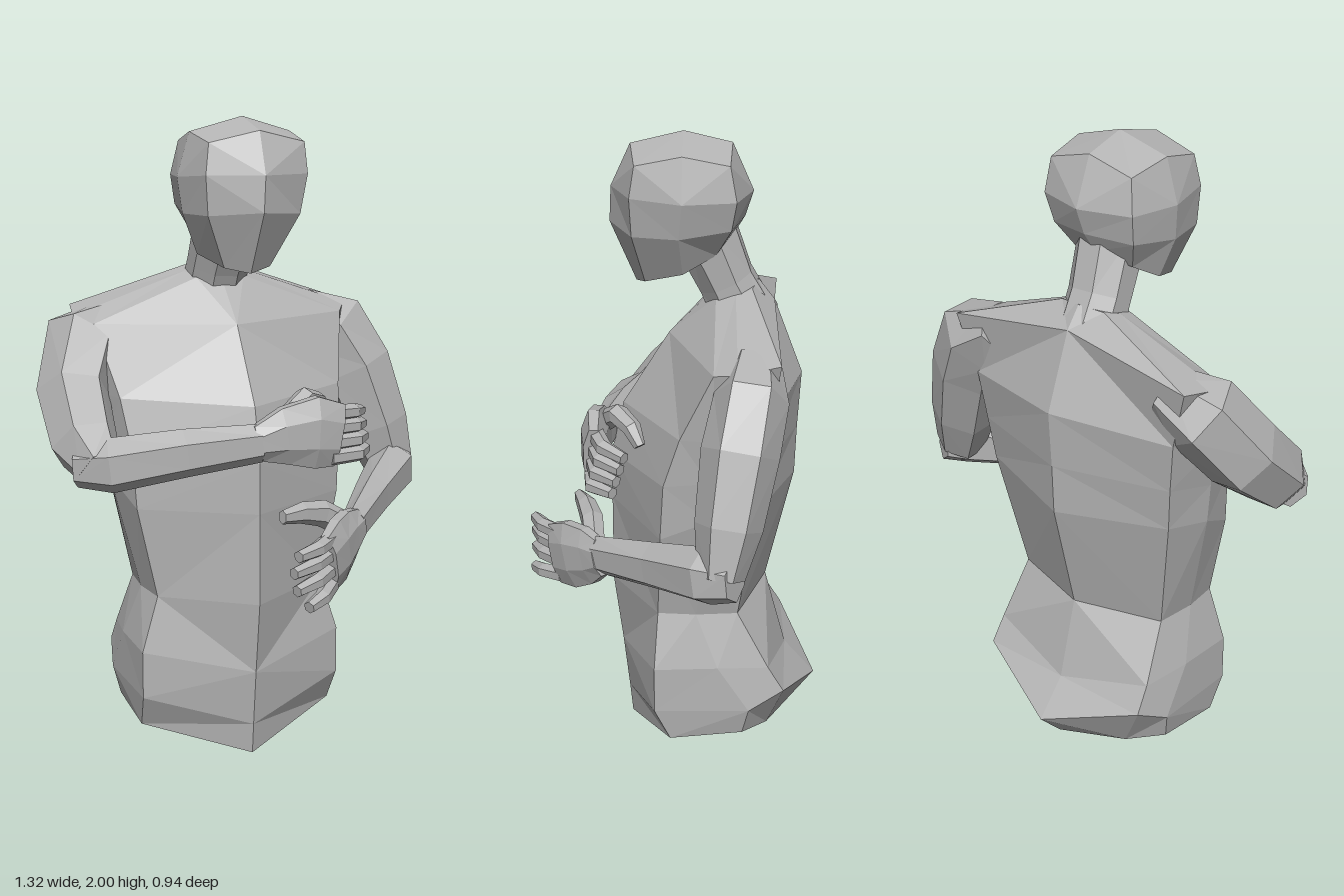
import * as THREE from 'three';

const grey = new THREE.MeshStandardMaterial({ color: 0xb4b4b4, flatShading: true });
grey.name = 'plain grey';

const V = ([x, y, z]) => new THREE.Vector3(x, y, z);
const centre = (r) => r.reduce((s, p) => s.add(p), new THREE.Vector3()).divideScalar(r.length);

// Closed skin over rings of points; rings run counter-clockwise about the direction of travel
function loft(name, rings, start = centre(rings[0]), end = centre(rings[rings.length - 1])) {
  const pos = [];
  const tri = (...pts) => pts.forEach((p) => pos.push(p.x, p.y, p.z));
  const n = rings[0].length;
  const first = rings[0], last = rings[rings.length - 1];
  for (let j = 0; j < n; j++) {
    const k = (j + 1) % n;
    for (let i = 0; i + 1 < rings.length; i++) {
      const a = rings[i], b = rings[i + 1];
      // Split each quad along its shorter diagonal
      if (a[j].distanceTo(b[k]) < a[k].distanceTo(b[j])) {
        tri(a[j], a[k], b[k]);
        tri(a[j], b[k], b[j]);
      } else {
        tri(a[j], a[k], b[j]);
        tri(a[k], b[k], b[j]);
      }
    }
    tri(start, first[k], first[j]);
    tri(end, last[j], last[k]);
  }
  const g = new THREE.BufferGeometry();
  g.setAttribute('position', new THREE.Float32BufferAttribute(pos, 3));
  g.computeVertexNormals();
  const m = new THREE.Mesh(g, grey);
  m.name = name;
  return m;
}

// Half cross-section (front centre to back centre) mirrored about x = cx
function mirrored(half, cx) {
  const left = half.map(([x, y, z]) => V([cx + x, y, z]));
  const right = half.slice(1, -1).reverse().map(([x, y, z]) => V([cx - x, y, z]));
  return [...left, ...right];
}

// Tapered limb: stations of [x, y, z, half thickness, half height]
function limb(name, stations, up = [0, 1, 0], sides = 6) {
  const pts = stations.map(V);
  const rings = stations.map((s, i) => {
    const t = pts[Math.min(i + 1, pts.length - 1)].clone().sub(pts[Math.max(i - 1, 0)]).normalize();
    const side = V(up).cross(t).normalize();
    const u = t.clone().cross(side);
    return Array.from({ length: sides }, (_, j) => {
      const a = ((j + 0.5) / sides) * Math.PI * 2;
      return pts[i].clone().addScaledVector(side, Math.cos(a) * s[3]).addScaledVector(u, Math.sin(a) * s[4]);
    });
  });
  return loft(name, rings);
}

// Four fingers, each from knuckle through a middle joint to the tip
function fingers(list) {
  const g = new THREE.Group();
  g.name = 'fingers';
  list.forEach(([a, b, c], i) =>
    g.add(limb('finger' + (i + 1), [[...a, 0.027, 0.027], [...b, 0.026, 0.025], [...c, 0.019, 0.019]])));
  return g;
}

export function createModel() {
  const model = new THREE.Group();
  model.name = 'figureBust';

  // Torso, from pelvis to base of the neck
  const torso = [
    [[0, 0, 0.14], [0.325, 0.095, 0], [0.32, 0.12, -0.23], [0.22, 0.1, -0.31], [0, 0.07, -0.38]],
    [[0, 0.1, 0.15], [0.335, 0.2, 0.05], [0.34, 0.21, -0.25], [0.31, 0.27, -0.36], [0, 0.165, -0.47]],
    [[0, 0.28, 0.17], [0.335, 0.35, 0.05], [0.335, 0.36, -0.15], [0.305, 0.35, -0.31], [0, 0.28, -0.37]],
    [[0, 0.51, 0.2], [0.28, 0.525, 0.04], [0.295, 0.53, -0.08], [0.28, 0.53, -0.21], [0, 0.535, -0.3]],
    [[0, 0.8, 0.2], [0.34, 0.81, 0.03], [0.38, 0.89, -0.12], [0.35, 0.92, -0.27], [0, 0.9, -0.385]],
    [[0, 0.96, 0.2], [0.35, 0.99, 0.02], [0.39, 1.02, -0.12], [0.365, 1.06, -0.285], [0, 1.06, -0.39]],
    [[0, 1.13, 0.16], [0.37, 1.15, -0.03], [0.41, 1.16, -0.14], [0.385, 1.22, -0.3], [0, 1.24, -0.4]],
    [[0, 1.365, 0.015], [0.42, 1.37, -0.13], [0.465, 1.39, -0.2], [0.44, 1.41, -0.325], [0, 1.475, -0.31]],
    [[0, 1.48, -0.1], [0.08, 1.5, -0.13], [0.1, 1.515, -0.19], [0.08, 1.53, -0.24], [0, 1.54, -0.26]],
  ];
  model.add(loft('torso', torso.map((h) => mirrored(h, -0.045)), V([-0.045, 0.025, -0.14])));

  // Neck leaning forward
  model.add(limb('neck', [
    [-0.045, 1.42, -0.22, 0.1, 0.1], [-0.04, 1.54, -0.16, 0.1, 0.09], [-0.03, 1.7, -0.09, 0.105, 0.105],
  ], [0, 0, 1], 8));

  // Faceted head, tilted slightly sideways
  const head = [
    [[0, 1.533, 0.115], [0.075, 1.55, 0.085], [0.12, 1.585, -0.03], [0.1, 1.64, -0.13], [0, 1.68, -0.18]],
    [[0, 1.72, 0.195], [0.15, 1.71, 0.12], [0.18, 1.71, -0.02], [0.15, 1.73, -0.175], [0, 1.74, -0.215]],
    [[0, 1.83, 0.19], [0.165, 1.83, 0.125], [0.2, 1.82, -0.03], [0.165, 1.82, -0.19], [0, 1.82, -0.24]],
    [[0, 1.96, 0.13], [0.155, 1.925, 0.11], [0.165, 1.955, -0.03], [0.15, 1.925, -0.17], [0, 1.965, -0.175]],
  ];
  const tilt = [-0.04, -0.03, -0.023, -0.018];
  model.add(loft('head', head.map((h, i) => mirrored(h, tilt[i])), undefined, V([-0.01, 2, -0.03])));

  // Right arm folded across the chest
  const right = new THREE.Group();
  right.name = 'rightArm';
  right.add(
    limb('upperArm', [
      [-0.36, 1.36, -0.25, 0.08, 0.08], [-0.47, 1.31, -0.22, 0.125, 0.125], [-0.54, 1.16, -0.11, 0.125, 0.115],
      [-0.55, 1.03, 0.04, 0.11, 0.105], [-0.53, 0.97, 0.13, 0.075, 0.07],
    ], [1, 0, 0]),
    limb('forearm', [
      [-0.59, 0.975, 0.08, 0.06, 0.065], [-0.5, 0.98, 0.13, 0.09, 0.085],
      [-0.28, 1.01, 0.18, 0.07, 0.075], [-0.05, 1.03, 0.22, 0.045, 0.06],
    ]),
    limb('palm', [
      [-0.06, 1.03, 0.22, 0.04, 0.06], [0.02, 1.05, 0.235, 0.045, 0.095],
      [0.12, 1.055, 0.24, 0.045, 0.12], [0.2, 1.04, 0.235, 0.035, 0.105],
    ], [0, 1, 0], 8),
    limb('thumb', [
      [0.04, 1.1, 0.21, 0.035, 0.035], [0.12, 1.15, 0.165, 0.035, 0.033],
      [0.18, 1.13, 0.12, 0.03, 0.028], [0.205, 1.08, 0.095, 0.018, 0.02],
    ]),
    fingers([0, 1, 2, 3].map((i) => [
      [0.17, 0.972 + i * 0.045, 0.245 - i * 0.004],
      [0.27, 0.975 + i * 0.042, 0.235 - i * 0.012],
      [0.325, 0.975 + i * 0.038, 0.17 - i * 0.012],
    ])),
  );
  model.add(right);

  // Left arm hanging, forearm brought forward
  const left = new THREE.Group();
  left.name = 'leftArm';
  left.add(
    limb('upperArm', [
      [0.28, 1.37, -0.25, 0.08, 0.08], [0.39, 1.31, -0.24, 0.13, 0.11], [0.465, 1.17, -0.21, 0.13, 0.115],
      [0.535, 0.97, -0.18, 0.115, 0.1], [0.58, 0.83, -0.16, 0.085, 0.07],
    ], [0, 0, 1]),
    limb('forearm', [
      [0.615, 0.84, -0.2, 0.06, 0.07], [0.57, 0.83, -0.12, 0.08, 0.09],
      [0.42, 0.785, 0.04, 0.06, 0.075], [0.265, 0.74, 0.22, 0.04, 0.062],
    ]),
    limb('palm', [
      [0.28, 0.74, 0.21, 0.037, 0.062], [0.23, 0.72, 0.25, 0.042, 0.095],
      [0.17, 0.695, 0.31, 0.042, 0.115], [0.11, 0.67, 0.365, 0.033, 0.105],
    ], [0, 1, 0], 8),
    limb('thumb', [
      [0.23, 0.75, 0.235, 0.035, 0.04], [0.14, 0.8, 0.25, 0.037, 0.042],
      [0.06, 0.815, 0.275, 0.032, 0.034], [-0.015, 0.815, 0.305, 0.018, 0.022],
    ]),
    fingers([
      [0.6, 0.57, 0.01], [0.65, 0.625, -0.03], [0.7, 0.68, -0.04], [0.745, 0.73, -0.025],
    ].map(([y0, y1, x1]) => [
      [0.13, y0, 0.345], [(0.13 + x1) / 2, (y0 + y1) / 2, 0.415], [x1, y1, 0.45],
    ])),
  );
  model.add(left);

  return model;
}
